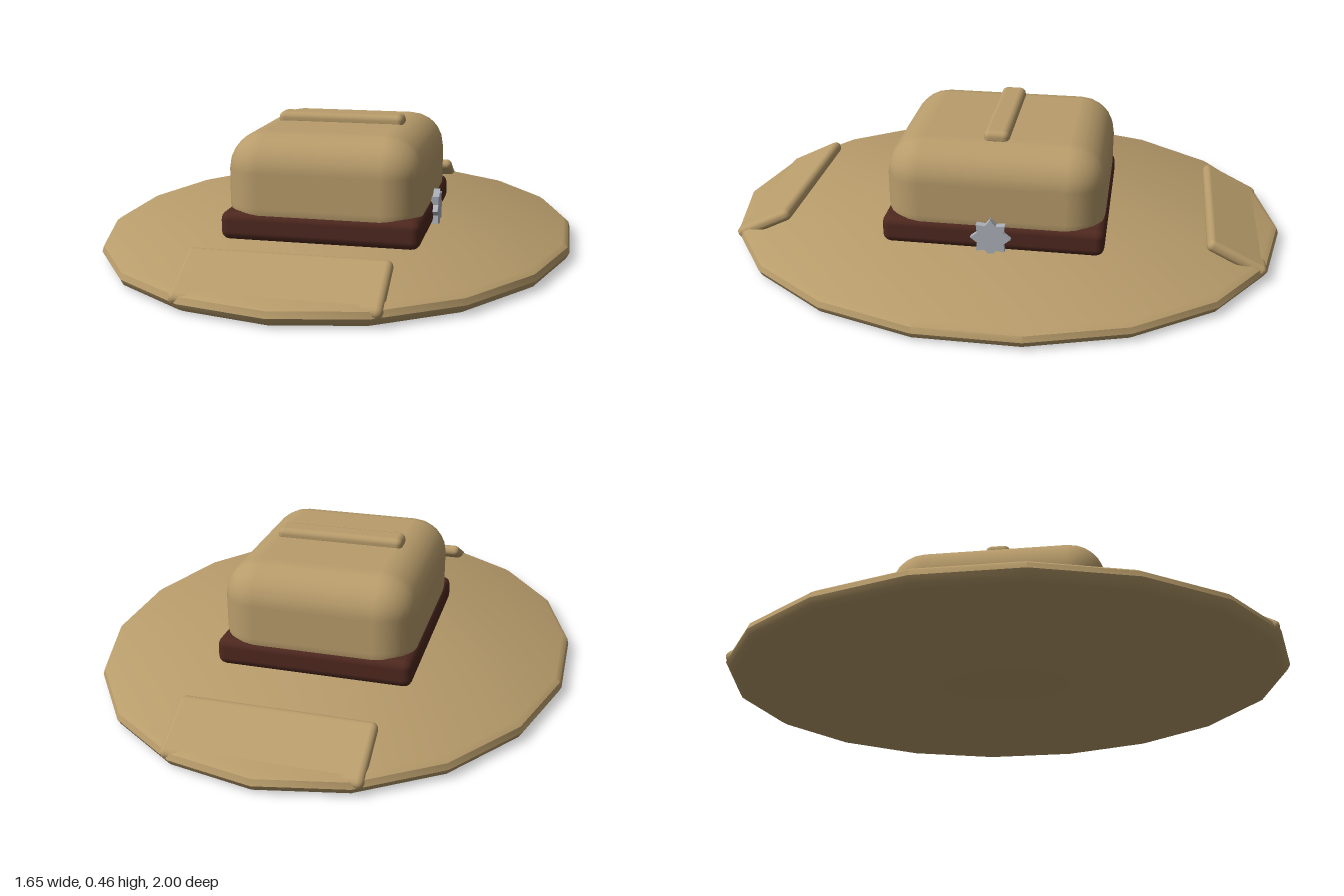
import * as THREE from 'three';
import { toCreasedNormals } from 'three/addons/utils/BufferGeometryUtils.js';
import { RoundedBoxGeometry } from 'three/addons/geometries/RoundedBoxGeometry.js';

function makeMaterial(name, color) {
  const material = new THREE.MeshStandardMaterial({ color });
  material.name = name;
  return material;
}

export function createModel() {
  const hat = new THREE.Group();
  hat.name = 'hat';
  const felt = makeMaterial('tan felt', 0xb89c6b);
  const leather = makeMaterial('dark brown leather', 0x4e281f);
  const metal = makeMaterial('grey metal', 0xadb2ba);

  function add(name, geometry, material, x = 0, y = 0, z = 0) {
    const mesh = new THREE.Mesh(geometry, material);
    mesh.name = name;
    mesh.position.set(x, y, z);
    hat.add(mesh);
    return mesh;
  }

  // Oval brim with a softly rounded rim
  const rim = [[0, 0], [0.965, 0], [0.988, 0.012], [1, 0.032], [0.993, 0.052], [0.972, 0.065], [0, 0.065]]
    .map(([r, y]) => new THREE.Vector2(r, y));
  const brim = new THREE.LatheGeometry(rim, 18).scale(0.84, 1, 1);
  add('brim', toCreasedNormals(brim, 0.65), felt);

  // Turned-up flaps at the front and back of the brim
  const tilt = Math.atan(0.5);
  for (const side of [1, -1]) {
    const flap = new RoundedBoxGeometry(0.64, 0.043, 0.224, 2, 0.02);
    add(side > 0 ? 'frontFlap' : 'backFlap', flap, felt, 0, 0.084, side * 0.832)
      .rotation.x = side * tilt;
  }

  // Crown, its band and the ridge across the top
  add('crown', new RoundedBoxGeometry(0.68, 0.38, 0.765, 3, 0.13), felt, 0, 0.24, 0);
  add('band', new RoundedBoxGeometry(0.69, 0.1, 0.775, 2, 0.03), leather, 0, 0.115, 0);
  add('ridge', new RoundedBoxGeometry(0.46, 0.05, 0.09, 2, 0.022), felt, 0, 0.436, 0);

  // Eight-pointed star badge on the left side of the band
  const star = new THREE.Shape();
  for (let i = 0; i < 16; i++) {
    const radius = i % 2 ? 0.05 : 0.07;
    const angle = (i * Math.PI) / 8;
    const point = [radius * Math.cos(angle), radius * Math.sin(angle)];
    if (i) star.lineTo(...point);
    else star.moveTo(...point);
  }
  star.closePath();
  const badge = new THREE.ExtrudeGeometry(star, { depth: 0.03, bevelEnabled: false });
  add('badge', badge, metal, 0.333, 0.123, 0).rotation.y = Math.PI / 2;

  return hat;
}
